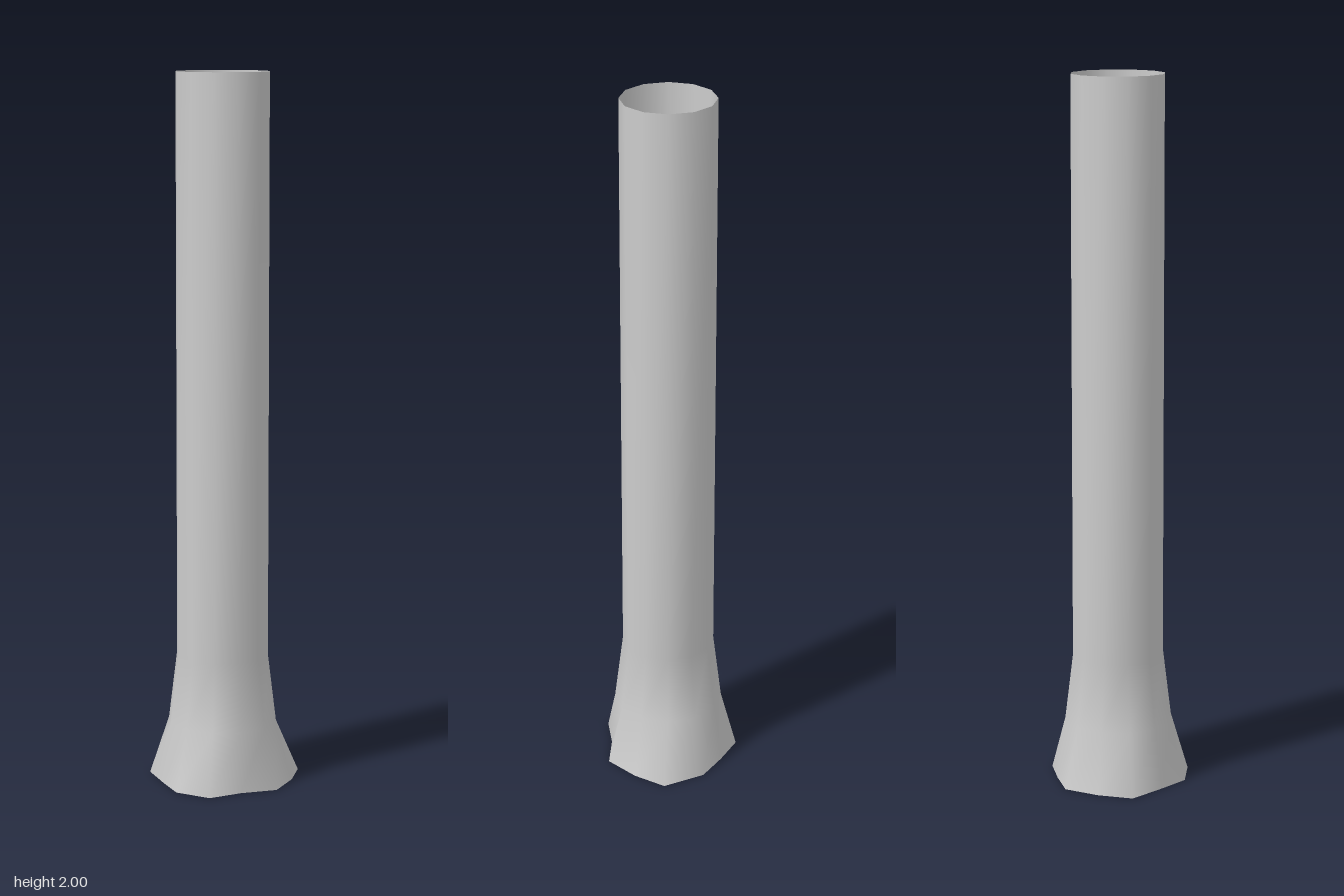
import * as THREE from 'three';

const SIDES = 12;
const CENTRE = [0.003, -0.016];

// Regular ring of [x, z] points around the column axis
function roundRing(radius) {
  return Array.from({ length: SIDES }, (_, i) => {
    const a = (i / SIDES) * Math.PI * 2;
    return [CENTRE[0] + radius * Math.cos(a), CENTRE[1] + radius * Math.sin(a)];
  });
}

// Irregular flared foot, starting at +x and turning towards +z
const foot = [
  [0.203, -0.02], [0.176, 0.084], [0.083, 0.13], [0.004, 0.19],
  [-0.097, 0.157], [-0.15, 0.077], [-0.209, -0.02], [-0.163, -0.11],
  [-0.097, -0.19], [0, -0.194], [0.1, -0.19], [0.206, -0.12],
];

// Skin a stack of rings into an open tube with smooth normals
function loft(rings) {
  const positions = [];
  const index = [];
  rings.forEach(({ y, points }) => points.forEach(([x, z]) => positions.push(x, y, z)));
  for (let r = 0; r < rings.length - 1; r++) {
    for (let i = 0; i < SIDES; i++) {
      const a = r * SIDES + i;
      const b = r * SIDES + ((i + 1) % SIDES);
      index.push(a, a + SIDES, b, b, a + SIDES, b + SIDES);
    }
  }
  const geometry = new THREE.BufferGeometry();
  geometry.setAttribute('position', new THREE.Float32BufferAttribute(positions, 3));
  geometry.setIndex(index);
  geometry.computeVertexNormals();
  return geometry;
}

export function createModel() {
  const group = new THREE.Group();
  group.name = 'flaredTrunk';

  // Hollow trunk: flared foot, neck, then a straight shaft open at both ends
  const trunk = new THREE.Mesh(
    loft([
      { y: 0, points: foot },
      { y: 0.17, points: roundRing(0.155) },
      { y: 0.365, points: roundRing(0.131) },
      { y: 2, points: roundRing(0.131) },
    ]),
    new THREE.MeshStandardMaterial({ color: 0xcccccc, side: THREE.DoubleSide })
  );
  trunk.name = 'trunk';
  group.add(trunk);
  return group;
}
